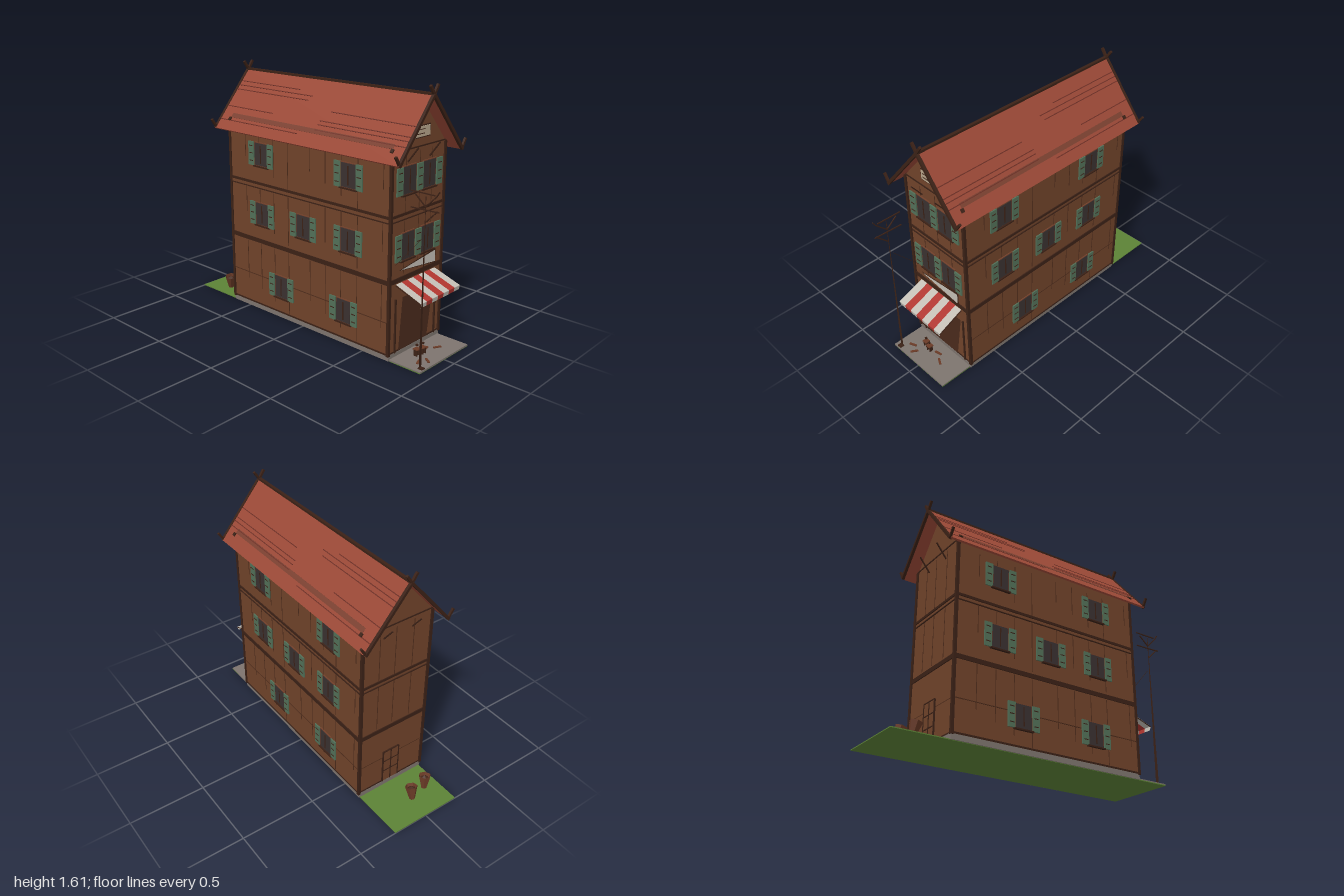
import * as THREE from 'three';

const mat = (color) => new THREE.MeshStandardMaterial({ color, side: THREE.DoubleSide, flatShading: true });
const M = {
  wall: mat(0x70432a), beam: mat(0x3b2116), plank: mat(0x4e2c1b), roof: mat(0x9a4836), roofLine: mat(0x6b2e24),
  band: mat(0x7a4030), green: mat(0x527058), glass: mat(0x3a3130), frame: mat(0x74402a), stone: mat(0x7d746e),
  grass: mat(0x5c8236), red: mat(0xb0352f), white: mat(0xc4bfb6), cream: mat(0xb8a68c), dark: mat(0x4a2a1c), pot: mat(0x6a3a26),
};

function box(parent, name, m, w, h, d, x, y, z) {
  const b = new THREE.Mesh(new THREE.BoxGeometry(w, h, d), m);
  b.name = name;
  b.position.set(x, y, z);
  parent.add(b);
  return b;
}

// square bar running from point a to point b
function bar(parent, name, m, a, b, w, h = w) {
  const p = new THREE.Vector3(...a), q = new THREE.Vector3(...b);
  const s = box(parent, name, m, w, h, p.distanceTo(q), 0, 0, 0);
  s.position.copy(p).add(q).multiplyScalar(0.5);
  s.lookAt(q);
  return s;
}

// thin polygon in the x-y plane, or any list of 3D corners as a fan
function sheet(parent, name, m, pts) {
  const g = new THREE.BufferGeometry();
  g.setAttribute('position', new THREE.Float32BufferAttribute(pts.flat(), 3));
  const idx = [];
  for (let i = 1; i < pts.length - 1; i++) idx.push(0, i, i + 1);
  g.setIndex(idx);
  g.computeVertexNormals();
  const s = new THREE.Mesh(g, m);
  s.name = name;
  parent.add(s);
  return s;
}

function shutter(parent, x, y, w, h, z) {
  box(parent, 'shutter', M.green, w, h, 0.008, x, y, z + 0.006);
  for (const t of [-0.3, 0.02, 0.32]) box(parent, 'shutterSlat', M.beam, w * 0.6, 0.005, 0.003, x, y + t * h, z + 0.011);
}

function pane(parent, x, y, w, h, z) {
  box(parent, 'windowFrame', M.frame, w, h, 0.008, x, y, z + 0.003);
  box(parent, 'windowGlass', M.glass, w - 0.01, h - 0.01, 0.004, x, y, z + 0.007);
  box(parent, 'windowBar', M.beam, 0.007, h * 0.75, 0.004, x, y, z + 0.01);
  box(parent, 'windowSill', M.beam, w + 0.015, 0.009, 0.02, x, y - h / 2 - 0.002, z + 0.006);
}

export function createModel() {
  const g = new THREE.Group();
  g.name = 'townHouse';
  const ZB = -0.645, ZF = 0.7, ZM = (ZB + ZF) / 2, LEN = ZF - ZB, W = 0.25;

  // ground and foundation
  box(g, 'grass', M.grass, 0.48, 0.006, 1.93, 0, 0.021, -0.035);
  box(g, 'pavement', M.stone, 0.48, 0.01, 0.23, 0, 0.025, 0.815);
  box(g, 'foundation', M.stone, 0.495, 0.035, LEN + 0.01, 0, 0.038, ZM);

  // house body with gables
  const s = new THREE.Shape([[-W, 0.055], [W, 0.055], [W, 1.265], [0, 1.556], [-W, 1.265]].map((p) => new THREE.Vector2(...p)));
  const body = new THREE.Mesh(new THREE.ExtrudeGeometry(s, { depth: LEN, bevelEnabled: false }), M.wall);
  body.name = 'walls';
  body.position.z = ZB;
  g.add(body);

  // corner posts and floor beams
  for (const x of [-1, 1]) for (const z of [ZB, ZF]) box(g, 'cornerPost', M.beam, 0.018, 1.22, 0.018, x * 0.247, 0.66, z);
  for (const [y, h] of [[0.51, 0.028], [0.9, 0.016], [0.868, 0.006]])
    box(g, 'floorBeam', M.beam, 2 * W + 0.012, h, LEN + 0.012, 0, y, ZM);
  box(g, 'gableBeam', M.beam, 2 * W, 0.008, LEN + 0.008, 0, 1.272, ZM);
  box(g, 'midRail', M.plank, 2 * W + 0.005, 0.005, LEN, 0, 0.262, ZM);
  box(g, 'baseBeam', M.beam, 2 * W + 0.006, 0.01, LEN + 0.006, 0, 0.06, ZM);

  // long sides: one is the other turned half round
  for (const dir of [1, -1]) {
    const side = new THREE.Group();
    side.name = 'sideWall';
    side.rotation.y = dir * Math.PI / 2;
    side.position.z = ZM;
    g.add(side);
    for (const [y, xs] of [[1.093, [-0.375, 0.363]], [0.697, [-0.375, -0.005, 0.363]], [0.24, [-0.207, 0.33]]]) {
      for (const x of xs) {
        pane(side, x, y, 0.12, 0.155, W);
        for (const k of [-1, 1]) shutter(side, x + k * 0.085, y, 0.05, 0.155, W + 0.003);
      }
    }
    for (let i = 0; i < 9; i++) {
      const x = -0.57 + i * 0.143;
      for (const [y, h] of [[0.28, 0.42], [0.7, 0.32], [1.06, 0.3]]) {
        const cut = ((i * 7 + Math.round(y * 10)) % 4) * 0.05;
        box(side, 'plankSeam', M.plank, 0.004, h - cut, 0.004, x + cut * 0.3, y + cut / 2, W);
      }
    }
  }

  // end wall seams and slanted gable braces
  for (const [z, k] of [[ZF, 1], [ZB, -1]]) {
    for (const x of [-0.12, 0.01, 0.125])
      for (const [y, h] of [[0.7, 0.33], [1.08, 0.34]]) box(g, 'plankSeam', M.plank, 0.004, h, 0.004, x, y, z);
    for (const x of [-0.105, 0.1]) bar(g, 'gableBrace', M.beam, [x, 1.2, z], [x, 1.29, z + k * 0.07], 0.007);
  }

  // front windows share a middle shutter
  for (const y of [1.098, 0.706]) {
    for (const x of [-0.093, 0.093]) pane(g, x, y, 0.125, 0.17, ZF);
    for (const x of [-0.184, 0, 0.184]) shutter(g, x, y, 0.055, 0.16, ZF + 0.004);
  }

  // gable plate and wedge-shaped sign
  box(g, 'gablePlateFrame', M.beam, 0.18, 0.072, 0.008, 0, 1.357, ZF + 0.003);
  box(g, 'gablePlate', M.cream, 0.168, 0.06, 0.008, 0, 1.357, ZF + 0.006);
  for (const y of [1.345, 1.37]) box(g, 'plateLine', M.beam, 0.1, 0.004, 0.003, -0.02, y, ZF + 0.011);
  sheet(g, 'signBacking', M.beam, [[-0.18, 0.57, 0.711], [0.177, 0.528, 0.711], [0.177, 0.617, 0.711]]);
  sheet(g, 'sign', M.white, [[-0.16, 0.571, 0.714], [0.17, 0.536, 0.714], [0.17, 0.609, 0.714]]);

  // shop entrance
  sheet(g, 'entrance', M.dark, [[-0.155, 0.06, 0.704], [0.125, 0.06, 0.704], [0.175, 0.39, 0.704], [-0.125, 0.39, 0.704]]);
  for (const x of [-0.19, 0.195]) box(g, 'entrancePost', M.beam, 0.01, 0.34, 0.01, x, 0.225, 0.704);

  // striped awning, narrowing towards the front
  const top = (t) => [-0.19 + 0.375 * t, 0.488, 0.703], low = (t) => [-0.19 + 0.385 * t, 0.42, 0.885];
  const hem = (t) => [-0.185 + 0.375 * t, 0.393, 0.88];
  for (let i = 0; i < 7; i++) {
    const a = i / 7, b = (i + 1) / 7, m = i % 2 ? M.red : M.white;
    sheet(g, 'awningStripe', m, [top(a), low(a), low(b), top(b)]);
    sheet(g, 'awningHem', m, [low(a), hem(a), hem(b), low(b)]);
  }
  for (const t of [0, 1]) bar(g, 'awningArm', M.beam, [top(t)[0], 0.48, 0.703], [low(t)[0], 0.416, 0.885], 0.004);

  // back door
  box(g, 'backDoor', M.wall, 0.12, 0.25, 0.008, 0.005, 0.185, ZB - 0.002);
  for (const x of [-0.055, 0.005, 0.065]) box(g, 'doorStile', M.beam, 0.007, 0.25, 0.012, x, 0.185, ZB - 0.003);
  for (const y of [0.15, 0.23, 0.31]) box(g, 'doorRail', M.beam, 0.12, 0.006, 0.012, 0.005, y, ZB - 0.003);

  // roof slopes, with seams, a low band and peg ends
  const onRoof = (t, off) => [0.3 * t + off * 0.76, 1.572 - 0.352 * t + off * 0.65];
  for (const k of [1, -1]) {
    const slab = (name, m, t0, t1, off, thick, z0, z1) => {
      const [x0, y0] = onRoof(t0, off), [x1, y1] = onRoof(t1, off);
      const b = box(g, name, m, Math.hypot(x1 - x0, y1 - y0), thick, z1 - z0, k * (x0 + x1) / 2, (y0 + y1) / 2, (z0 + z1) / 2);
      b.rotation.z = k * Math.atan2(y1 - y0, x1 - x0);
    };
    slab('roofSlope', M.roof, 0, 1, 0, 0.012, -0.73, 0.79);
    slab('roofBand', M.band, 0.73, 0.8, 0.005, 0.006, -0.635, 0.7);
    for (const [t, z0, z1] of [[0.2, -0.72, -0.18], [0.27, -0.72, -0.05], [0.34, -0.72, -0.07], [0.45, 0.15, 0.78],
      [0.6, 0.1, 0.78], [0.66, 0.1, 0.78], [0.74, 0.1, 0.78], [0.62, -0.72, -0.3], [0.84, -0.72, -0.02]])
      slab('roofSeam', M.roofLine, t, t + 0.012, 0.006, 0.004, z0, z1);
    for (const z of [-0.635, 0.705]) slab('roofPeg', M.beam, 0.8, 0.85, 0.008, 0.012, z - 0.01, z + 0.01);

    // crossing verge boards with upturned ends
    for (const z of [-0.73, 0.787]) {
      bar(g, 'vergeBoard', M.beam, [-k * 0.036, 1.628, z], [0, 1.574, z], 0.015);
      bar(g, 'vergeBoard', M.beam, [0, 1.574, z], [k * 0.298, 1.22, z], 0.018);
      bar(g, 'vergeHook', M.beam, [k * 0.29, 1.222, z], [k * 0.328, 1.28, z], 0.014);
    }
  }
  box(g, 'ridgeBeam', M.beam, 0.02, 0.014, 1.52, 0, 1.577, 0.03);

  // slender pole with cross arms and a line to the house
  const PX = -0.2, PZ = 0.9;
  const blade = sheet(g, 'pole', M.beam, [[PX - 0.012, 0.03, PZ], [PX + 0.012, 0.03, PZ], [PX + 0.004, 0.84, PZ], [PX - 0.004, 0.84, PZ]]);
  blade.name = 'pole';
  bar(g, 'poleTop', M.beam, [PX, 0.82, PZ], [PX, 1.06, PZ], 0.003);
  for (const [y0, z0, y1, z1] of [[0.985, 0.99, 0.98, 0.8], [1.075, 0.96, 1.075, 0.8], [0.99, 0.98, 0.91, 0.9],
    [1.07, 0.97, 1.0, 0.9], [1.0, 0.9, 1.06, 0.83], [1.1, 0.99, 1.07, 0.97]])
    bar(g, 'crossArm', M.beam, [PX, y0, z0], [PX, y1, z1], 0.006);
  bar(g, 'line', M.beam, [PX, 0.81, 0.88], [PX, 0.61, 0.705], 0.002);
  box(g, 'poleFoot', M.beam, 0.03, 0.008, 0.03, PX, 0.032, PZ + 0.01);

  // low stools and scraps on the pavement
  for (const [x, z] of [[-0.085, 0.79], [-0.04, 0.8]]) {
    box(g, 'stoolSeat', M.pot, 0.035, 0.006, 0.035, x, 0.072, z);
    for (const k of [-1, 1]) box(g, 'stoolLeg', M.beam, 0.005, 0.04, 0.025, x + k * 0.012, 0.05, z);
    box(g, 'stoolCup', M.beam, 0.012, 0.01, 0.012, x, 0.098, z);
  }
  for (const [x, z, r] of [[-0.15, 0.85, 0.4], [0.02, 0.78, 0.2], [0.08, 0.82, -0.5], [-0.1, 0.88, 1]])
    box(g, 'scrap', M.pot, 0.05, 0.006, 0.014, x, 0.034, z).rotation.y = r;

  // tapered pots on the grass
  for (const [x, z, r] of [[-0.145, -0.815, 0.3], [-0.02, -0.84, 1.1]]) {
    const pot = new THREE.Mesh(new THREE.CylinderGeometry(0.04, 0.018, 0.09, 6, 1, true), M.pot);
    pot.name = 'pot';
    pot.position.set(x, 0.07, z);
    pot.rotation.set(0.12, r, 0.15);
    g.add(pot);
    const soil = new THREE.Mesh(new THREE.ConeGeometry(0.032, 0.02, 5), M.dark);
    soil.name = 'potSoil';
    soil.position.y = 0.035;
    pot.add(soil);
  }
  return g;
}
